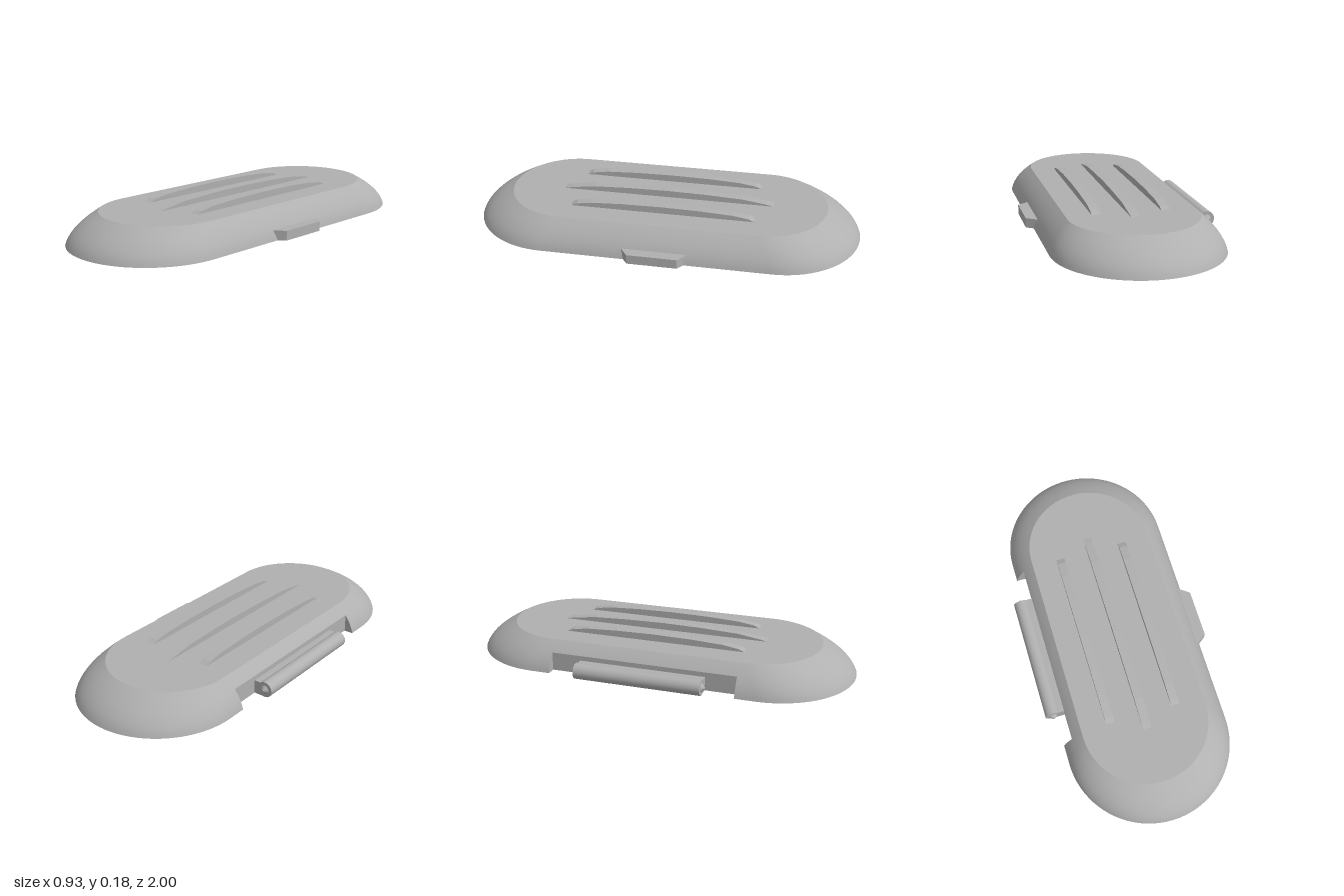
import * as THREE from 'three';
import { toCreasedNormals } from 'three/addons/utils/BufferGeometryUtils.js';

const CX = 0.007;        // centre line of the shell
const TOP = 0.147;       // height of the flat top
const CEILING = 0.111;   // height of the inner ceiling
const NOTCH_X = -0.365, NOTCH_Z = 0.48;

// Stadium outline at height y, cut back on the -x side by the hinge notch
function ring(r, h, y) {
  const pts = [];
  const n = 40;
  const arc = (start, zc) => {
    for (let i = 0; i <= n; i++) {
      const a = start + (i / n) * Math.PI;
      pts.push(new THREE.Vector3(CX + r * Math.cos(a), y, zc + r * Math.sin(a)));
    }
  };
  const x = CX - r, xc = Math.max(x, NOTCH_X);
  arc(0, h);
  pts.push(
    new THREE.Vector3(x, y, NOTCH_Z), new THREE.Vector3(xc, y, NOTCH_Z),
    new THREE.Vector3(xc, y, -NOTCH_Z), new THREE.Vector3(x, y, -NOTCH_Z));
  arc(Math.PI, -h);
  return pts;
}

// Skin a sequence of closed rings, skipping collapsed triangles
function skin(rings) {
  const pos = [];
  const ab = new THREE.Vector3(), ac = new THREE.Vector3();
  const tri = (a, b, c) => {
    ab.subVectors(b, a);
    ac.subVectors(c, a);
    if (ab.cross(ac).length() < 1e-9) return;
    for (const p of [a, b, c]) pos.push(p.x, p.y, p.z);
  };
  for (let k = 0; k + 1 < rings.length; k++) {
    const A = rings[k], B = rings[k + 1];
    for (let i = 0; i < A.length; i++) {
      const j = (i + 1) % A.length;
      tri(A[i], B[i], A[j]);
      tri(A[j], B[i], B[j]);
    }
  }
  const g = new THREE.BufferGeometry();
  g.setAttribute('position', new THREE.Float32BufferAttribute(pos, 3));
  return toCreasedNormals(g, 0.38);
}

function shellGeometry() {
  const centre = (y) => ring(0.1, 0.1, y).map(() => new THREE.Vector3(CX, y, 0));
  const rings = [centre(CEILING), ring(0.25, 0.54, CEILING), ring(0.34, 0.58, 0)];
  // Domed outer wall, leaning in more at the ends than along the sides
  for (const t of [0, 0.12, 0.25, 0.38, 0.51, 0.641, 0.76, 0.88, 1]) {
    const f = 0.3 * t + 0.7 * t * t;
    rings.push(ring(0.42 - 0.1 * f, 0.58 - 0.075 * f, TOP * t));
  }
  rings.push(centre(TOP));
  return skin(rings);
}

// Grip rib: half profile of [z, y] points mirrored, extruded across x
function ribGeometry(half, width) {
  const pts = [...half, ...half.slice(0, -1).reverse().map(([z, y]) => [-z, y])];
  const end = half[0][0];
  const outline = [[end, CEILING - 0.002], ...pts, [-end, CEILING - 0.002]];
  const shape = new THREE.Shape(outline.map(([z, y]) => new THREE.Vector2(z, y)));
  const g = new THREE.ExtrudeGeometry(shape, { depth: width, bevelEnabled: false });
  return g.translate(0, 0, -width / 2).rotateY(Math.PI / 2);
}

export function createModel() {
  const group = new THREE.Group();
  const grey = new THREE.MeshStandardMaterial({ color: 0xb0b0b0 });
  grey.name = 'plain grey';

  const add = (name, geometry, x = 0, y = 0, z = 0) => {
    const mesh = new THREE.Mesh(geometry, grey);
    mesh.name = name;
    mesh.position.set(x, y, z);
    group.add(mesh);
    return mesh;
  };

  add('shell', shellGeometry());

  // Three grip ribs, the middle one longer
  const longRib = [[-0.55, TOP], [-0.51, 0.155], [-0.39, 0.172], [-0.2, 0.18], [0, 0.183]];
  const shortRib = [[-0.47, TOP], [-0.44, 0.16], [-0.36, 0.172], [-0.2, 0.18], [0, 0.183]];
  add('middleRib', ribGeometry(longRib, 0.044), 0.009);
  add('leftRib', ribGeometry(shortRib, 0.044), 0.18);
  add('rightRib', ribGeometry(shortRib, 0.044), -0.162);

  // Tapered latch tab on the +x side
  const tab = new THREE.Shape([
    new THREE.Vector2(0.37, -0.165), new THREE.Vector2(0.408, -0.165),
    new THREE.Vector2(0.463, -0.125), new THREE.Vector2(0.463, 0.125),
    new THREE.Vector2(0.408, 0.165), new THREE.Vector2(0.37, 0.165)]);
  const tabGeometry = new THREE.ExtrudeGeometry(tab, { depth: 0.049, bevelEnabled: false });
  add('latchTab', tabGeometry.rotateX(-Math.PI / 2), 0, 0.001);

  // Hinge barrel, its link to the shell and the pivot points
  const bx = -0.425, by = 0.04, bz = -0.003, length = 0.65;
  add('hingeBarrel', new THREE.CylinderGeometry(0.04, 0.04, length, 32).rotateX(Math.PI / 2), bx, by, bz);
  add('hingeLink', new THREE.BoxGeometry(0.075, 0.069, length), -0.3825, 0.0355, bz);
  for (const s of [1, -1]) {
    const pivot = new THREE.CylinderGeometry(0.004, 0.023, 0.017, 24).rotateX(s * Math.PI / 2);
    add(s > 0 ? 'frontPivot' : 'backPivot', pivot, bx, by, bz + s * (length / 2 + 0.0085));
  }

  return group;
}
